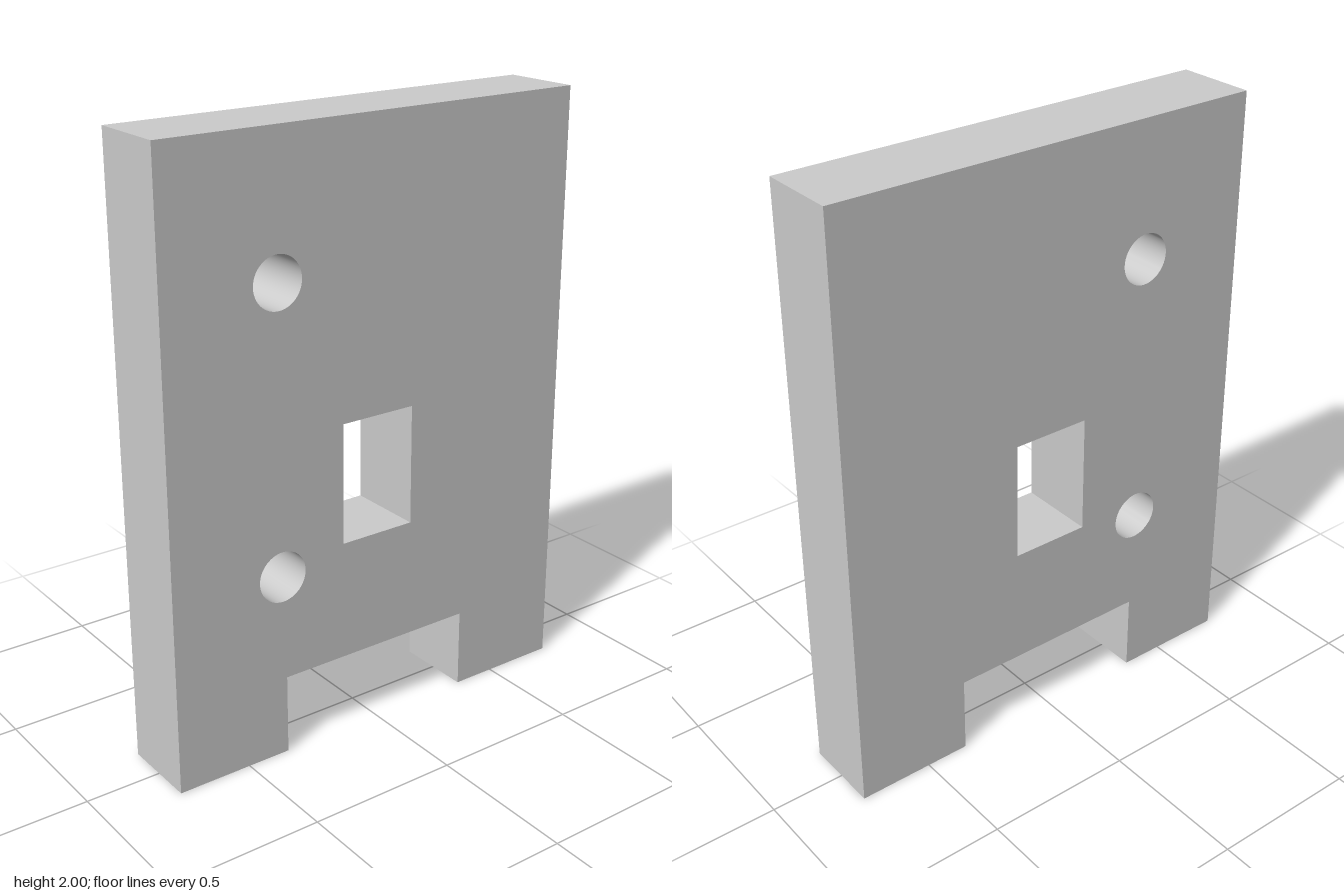
import * as THREE from 'three';
import { toCreasedNormals } from 'three/addons/utils/BufferGeometryUtils.js';

const WIDTH = 1.5, HEIGHT = 2, DEPTH = 0.267;
const NOTCH_WIDTH = 0.706, NOTCH_HEIGHT = 0.267;

const polygon = (Type, pairs) => new Type(pairs.map(([x, y]) => new THREE.Vector2(x, y)));

export function createModel() {
  const group = new THREE.Group();
  const w = WIDTH / 2, n = NOTCH_WIDTH / 2;

  // Plate outline with the notch between the two feet
  const outline = polygon(THREE.Shape, [
    [-w, 0], [-n, 0], [-n, NOTCH_HEIGHT], [n, NOTCH_HEIGHT],
    [n, 0], [w, 0], [w, HEIGHT], [-w, HEIGHT],
  ]);

  // Rectangular window
  outline.holes.push(polygon(THREE.Path, [
    [-0.133, 0.667], [-0.133, 1.067], [0.133, 1.067], [0.133, 0.667],
  ]));

  // Two round bolt holes on one side
  for (const y of [0.62, 1.55]) {
    outline.holes.push(new THREE.Path().absarc(-0.362, y, 0.084, 0, Math.PI * 2, true));
  }

  const geometry = new THREE.ExtrudeGeometry(outline, {
    depth: DEPTH, bevelEnabled: false, curveSegments: 24,
  });
  geometry.translate(0, 0, -DEPTH / 2);

  // Smooth bores, sharp edges everywhere else
  const plate = new THREE.Mesh(
    toCreasedNormals(geometry, Math.PI / 6),
    new THREE.MeshStandardMaterial({ color: 0xcccccc }),
  );
  plate.name = 'plate';
  group.add(plate);
  return group;
}
